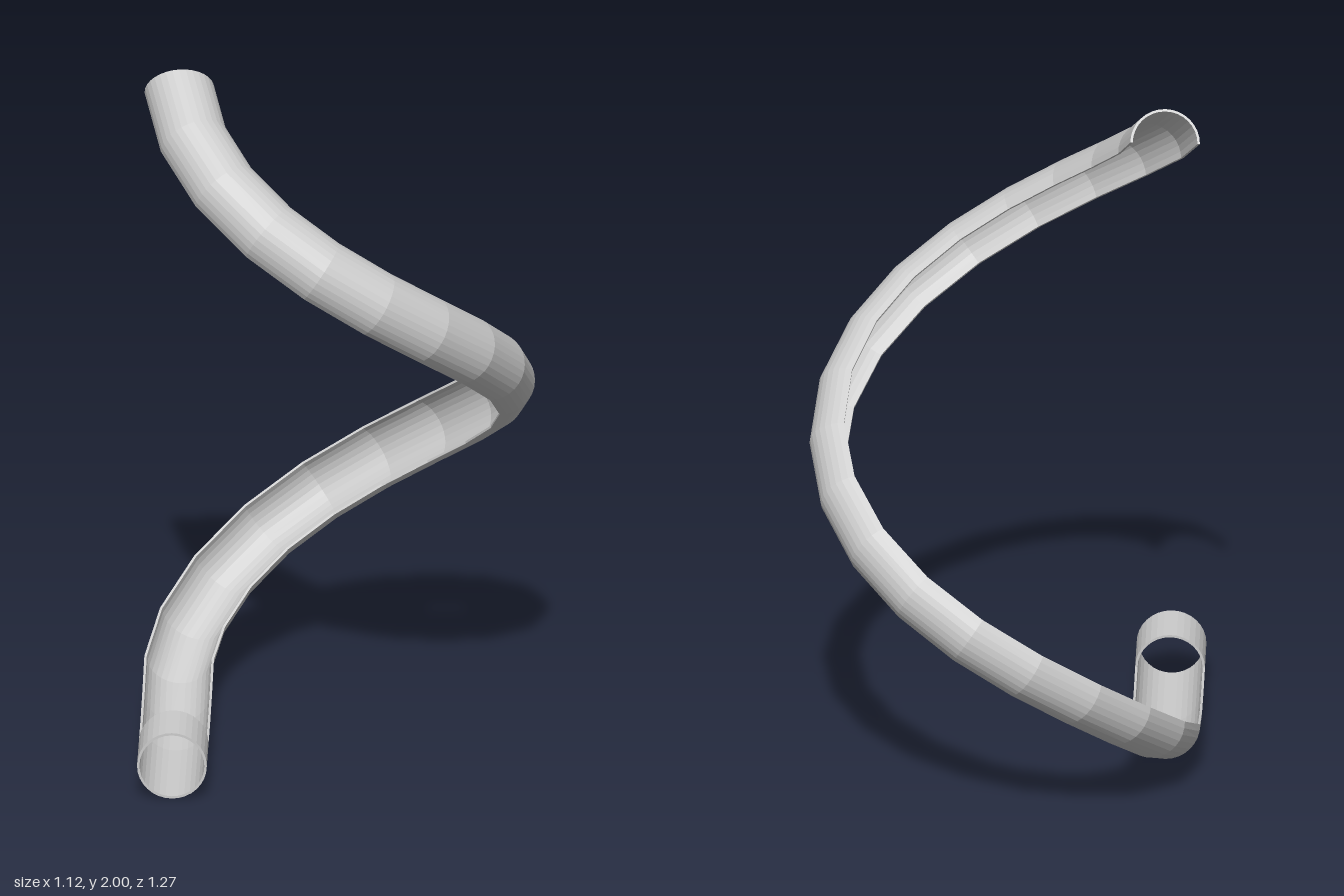
import * as THREE from 'three';

const R = 0.1, INNER = 0.093;   // outer and inner pipe radius
const ARC = 16;                 // facets around the half pipe
const START = -3, END = 18;     // path stations: straight run-out, then helix

const material = new THREE.MeshStandardMaterial({ color: 0xcccccc, flatShading: true });

const angleAt = s => THREE.MathUtils.degToRad(-177 + s * 19.45);

// Centre line: flat run-out, gentle rise, then one turn of a helix
function centre(s) {
  const y = s < -2 ? 0.1
    : s < 1.8 ? 0.1 + 0.0132 * (s + 2) ** 2
    : 0.1095 + 0.1005 * s;
  if (s < 0) return new THREE.Vector3(-0.46, y, -0.1 - 0.183 * s);
  const a = angleAt(s);
  return new THREE.Vector3(0.46 * Math.cos(a), y, -0.08 + 0.46 * Math.sin(a));
}

// Half-ring section that rolls from opening upward to opening downward
function section(s) {
  const c = centre(s);
  const tangent = centre(s + 0.5).sub(centre(s - 0.5)).normalize();
  const inward = tangent.clone().cross(new THREE.Vector3(0, 1, 0)).normalize();
  const up = inward.clone().cross(tangent);
  const roll = Math.max(0, (angleAt(s) + Math.PI) / 2);
  const open = up.clone().multiplyScalar(Math.cos(roll)).addScaledVector(inward, Math.sin(roll));
  const across = inward.clone().multiplyScalar(Math.cos(roll)).addScaledVector(up, -Math.sin(roll));
  const point = (r, k) => {
    const a = Math.PI * k / ARC;
    return c.clone().addScaledVector(across, r * Math.cos(a)).addScaledVector(open, -r * Math.sin(a));
  };
  const loop = [];
  for (let k = 0; k <= ARC; k++) loop.push(point(R, k));
  for (let k = ARC; k >= 0; k--) loop.push(point(INNER, k));
  return loop;
}

function chuteGeometry() {
  const positions = [], index = [];
  const n = 2 * (ARC + 1), rows = END - START;
  const quad = (a, b, c, d) => index.push(a, b, c, a, c, d);
  for (let s = START; s <= END; s++) {
    for (const p of section(s)) positions.push(p.x, p.y, p.z);
  }
  // Walls and rims
  for (let i = 0; i < rows; i++) {
    for (let j = 0; j < n; j++) {
      const k = (j + 1) % n;
      quad(i * n + j, i * n + k, (i + 1) * n + k, (i + 1) * n + j);
    }
  }
  // End faces
  const e = rows * n;
  for (let k = 0; k < ARC; k++) {
    const a = k, b = n - 1 - k, c = n - 2 - k, d = k + 1;
    quad(a, b, c, d);
    quad(e + d, e + c, e + b, e + a);
  }
  const geometry = new THREE.BufferGeometry();
  geometry.setAttribute('position', new THREE.Float32BufferAttribute(positions, 3));
  geometry.setIndex(index);
  geometry.computeVertexNormals();
  return geometry;
}

function collarGeometry() {
  const ring = new THREE.Shape().absarc(0, 0, R, 0, Math.PI * 2, false);
  ring.holes.push(new THREE.Path().absarc(0, 0, INNER, 0, Math.PI * 2, true));
  return new THREE.ExtrudeGeometry(ring, { depth: 0.185, bevelEnabled: false, curveSegments: 16 });
}

export function createModel() {
  const model = new THREE.Group();
  model.name = 'spiralChute';

  const chute = new THREE.Mesh(chuteGeometry(), material);
  chute.name = 'halfPipe';
  model.add(chute);

  // Closed pipe at the lower end
  const collar = new THREE.Mesh(collarGeometry(), material);
  collar.name = 'exitCollar';
  collar.position.set(-0.46, 0.1, 0.449);
  model.add(collar);

  return model;
}
